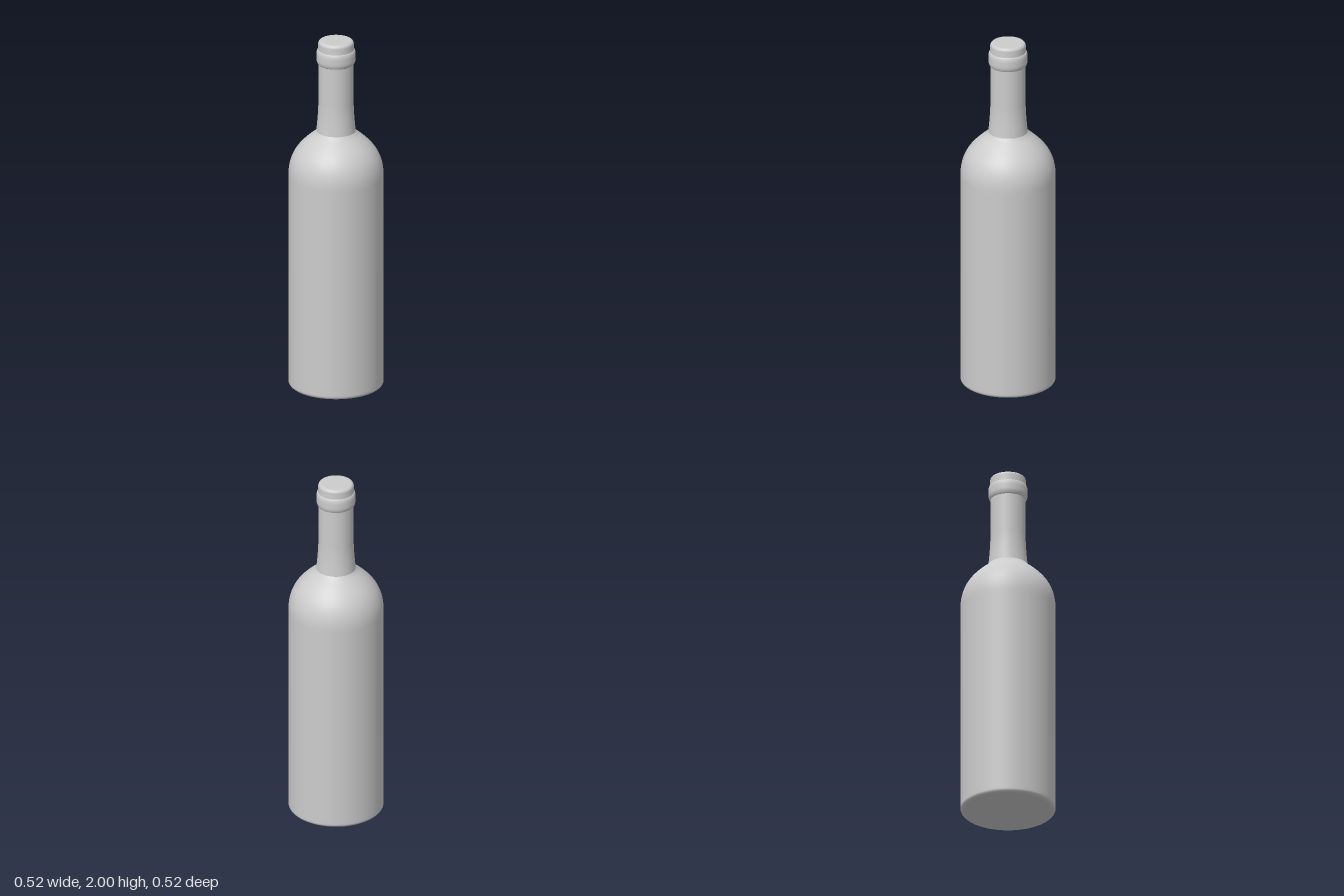
import * as THREE from 'three';

const glass = new THREE.MeshStandardMaterial({ color: 0xcccccc });
glass.name = 'plain grey';

const v = (x, y) => new THREE.Vector2(x, y);
const bezier = (n, ...p) => new THREE.CubicBezierCurve(...p.map(([x, y]) => v(x, y))).getPoints(n);

// Quarter-round corner between two profile directions
const corner = (cx, cy, r, from, to, n = 6) => Array.from({ length: n + 1 }, (_, i) => {
  const a = from + (to - from) * i / n;
  return v(cx + r * Math.cos(a), cy + r * Math.sin(a));
});

function turned(name, points) {
  const mesh = new THREE.Mesh(new THREE.LatheGeometry(points, 96), glass);
  mesh.name = name;
  return mesh;
}

export function createModel() {
  const bottle = new THREE.Group();
  bottle.name = 'bottle';
  const H = Math.PI / 2;

  // Flat foot, straight wall and rounded shoulder
  bottle.add(turned('body', [
    v(0, 0), v(0.23, 0),
    ...corner(0.239, 0.02, 0.02, -H, 0),
    v(0.259, 0.04), v(0.259, 1.2),
    ...bezier(24, [0.259, 1.22], [0.257, 1.345], [0.195, 1.4], [0.118, 1.462]),
    v(0.107, 1.475),
  ]));

  // Neck flaring slightly at its root
  bottle.add(turned('neck', [
    ...bezier(12, [0.107, 1.475], [0.102, 1.53], [0.097, 1.58], [0.096, 1.64]),
    v(0.096, 1.865),
  ]));

  // Rounded collar below the mouth
  bottle.add(turned('collar', [
    v(0.095, 1.865), v(0.098, 1.866),
    ...bezier(8, [0.1, 1.868], [0.106, 1.88], [0.107, 1.888], [0.107, 1.9]),
    ...bezier(8, [0.107, 1.915], [0.107, 1.93], [0.105, 1.938], [0.101, 1.946]),
    v(0.098, 1.948), v(0.094, 1.948),
  ]));

  // Closed, softly rounded top
  bottle.add(turned('cap', [
    v(0.098, 1.945), v(0.097, 1.97),
    ...corner(0.079, 1.982, 0.018, 0, H),
    v(0.07, 2), v(0, 2),
  ]));

  return bottle;
}
